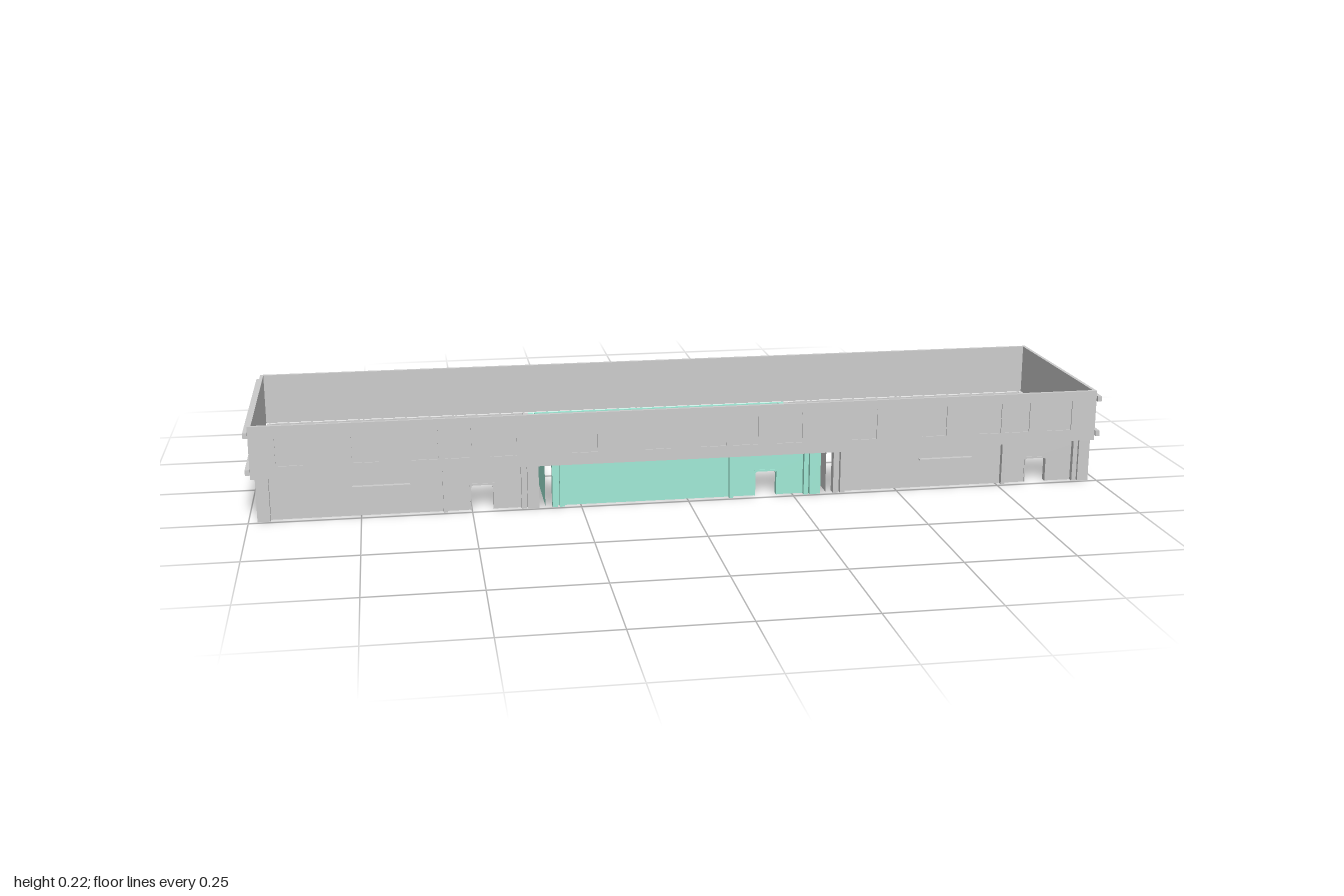
import * as THREE from 'three';

const grey = new THREE.MeshStandardMaterial({ color: 0xcccccc, flatShading: true });
const teal = new THREE.MeshStandardMaterial({ color: 0xa0ead6, flatShading: true });

function add(parent, geometry, material, name) {
  const mesh = new THREE.Mesh(geometry, material);
  mesh.name = name;
  parent.add(mesh);
  return mesh;
}

// Box given by its lower and upper limits on each axis
function box(parent, name, material, [x0, x1], [y0, y1], [z0, z1]) {
  const mesh = add(parent, new THREE.BoxGeometry(x1 - x0, y1 - y0, z1 - z0), material, name);
  mesh.position.set((x0 + x1) / 2, (y0 + y1) / 2, (z0 + z1) / 2);
  return mesh;
}

// Partition open at both ends: only the sides, top and underside are kept
function openPartition(parent, material, x, z) {
  const mesh = box(parent, 'partitionWall', material, x, [0, 0.1], z);
  mesh.geometry.setIndex(Array.from(mesh.geometry.index.array).slice(0, 24));
  mesh.geometry.clearGroups();
}

function extrude(shape, z0, z1) {
  return new THREE.ExtrudeGeometry(shape, { depth: z1 - z0, bevelEnabled: false, curveSegments: 4 })
    .translate(0, 0, z0);
}

// Doorway outline with rounded upper corners, open at the floor
function traceDoor(path, cx, halfWidth, height, r) {
  path.lineTo(cx - halfWidth, 0);
  path.lineTo(cx - halfWidth, height - r);
  path.quadraticCurveTo(cx - halfWidth, height, cx - halfWidth + r, height);
  path.lineTo(cx + halfWidth - r, height);
  path.quadraticCurveTo(cx + halfWidth, height, cx + halfWidth, height - r);
  path.lineTo(cx + halfWidth, 0);
}

// Ground floor unit: front wall with doorway, pilasters, back wall
function groundUnit(cx, material, name, hasLedge) {
  const unit = new THREE.Group();
  unit.name = name;
  const left = cx - 0.316, right = cx + 0.316;
  const doorX = cx + 0.187;

  const wall = new THREE.Shape();
  wall.moveTo(left, 0);
  traceDoor(wall, doorX, 0.025, 0.058, 0.008);
  wall.lineTo(right, 0);
  wall.lineTo(right, 0.1);
  wall.lineTo(left, 0.1);
  wall.closePath();
  add(unit, extrude(wall, 0.222, 0.23), material, 'frontWall');

  // Door surround
  const frame = new THREE.Shape();
  frame.moveTo(doorX - 0.028, 0);
  frame.lineTo(doorX - 0.028, 0.062);
  frame.lineTo(doorX + 0.028, 0.062);
  frame.lineTo(doorX + 0.028, 0);
  frame.lineTo(doorX + 0.025, 0);
  frame.lineTo(doorX + 0.025, 0.058);
  frame.lineTo(doorX - 0.025, 0.058);
  frame.lineTo(doorX - 0.025, 0);
  frame.closePath();
  add(unit, extrude(frame, 0.217, 0.232), material, 'doorFrame');

  // Pilasters, as start and end offsets from the unit centre
  for (const [a, b] of [[-0.316, -0.304], [-0.299, -0.288], [0.098, 0.107], [0.276, 0.287], [0.29, 0.316]])
    box(unit, 'pilaster', material, [cx + a, cx + b], [0, 0.1], [0.225, 0.243]);

  if (hasLedge)
    box(unit, 'ledge', material, [cx - 0.105, cx + 0.025], [0.069, 0.071], [0.217, 0.241]);

  box(unit, 'backWall', material, [left, right], [0, 0.1], [-0.23, -0.222]);
  return unit;
}

export function createModel() {
  const model = new THREE.Group();
  model.name = 'building';

  // Ground floor
  model.add(groundUnit(-0.663, grey, 'rightUnit', true));
  model.add(groundUnit(0, teal, 'middleUnit', false));
  model.add(groundUnit(0.663, grey, 'leftUnit', true));
  for (const s of [-1, 1]) {
    const span = (a, b) => [Math.min(s * a, s * b), Math.max(s * a, s * b)];
    box(model, 'endWall', grey, span(0.972, 0.98), [0, 0.1], [-0.23, 0.23]);
    box(model, 'cornerPilaster', grey, span(0.962, 0.98), [0, 0.1], [0.228, 0.243]);
    openPartition(model, teal, span(0.318, 0.332), [-0.23, 0.23]);
    openPartition(model, grey, span(0.332, 0.346), [-0.23, 0.23]);
  }

  // Upper storey
  const upper = new THREE.Group();
  upper.name = 'upperStorey';
  model.add(upper);
  const front = new THREE.Shape();
  front.moveTo(-0.99, 0.1);
  front.lineTo(0.99, 0.1);
  front.lineTo(0.99, 0.222);
  front.lineTo(-0.99, 0.222);
  front.closePath();
  const windows = [-0.903, -0.735, -0.603, -0.528, -0.425, -0.24, -0.07, 0.06, 0.135, 0.24, 0.42, 0.59, 0.725, 0.795, 0.9];
  for (const x of windows) {
    const hole = new THREE.Path();
    hole.moveTo(x - 0.03, 0.128);
    hole.lineTo(x - 0.03, 0.2);
    hole.lineTo(x + 0.03, 0.2);
    hole.lineTo(x + 0.03, 0.128);
    hole.closePath();
    front.holes.push(hole);
    box(upper, 'windowPane', grey, [x - 0.03, x + 0.03], [0.128, 0.2], [0.237, 0.24]);
  }
  add(upper, extrude(front, 0.234, 0.243), grey, 'upperFrontWall');
  box(upper, 'upperBackWall', grey, [-0.99, 0.99], [0.1, 0.222], [-0.243, -0.234]);
  for (const s of [-1, 1])
    box(upper, 'upperEndWall', grey, [s * 0.986 - 0.004, s * 0.986 + 0.004], [0.1, 0.222], [-0.234, 0.234]);

  // Moulding bands around the ends and back
  for (const y of [[0.112, 0.125], [0.197, 0.21]]) {
    box(upper, 'backBand', grey, [-0.99, 0.99], y, [-0.25, -0.243]);
    for (const s of [-1, 1])
      box(upper, 'endBand', grey, [s * 0.995 - 0.005, s * 0.995 + 0.005], y, [-0.25, 0.25]);
  }
  return model;
}
